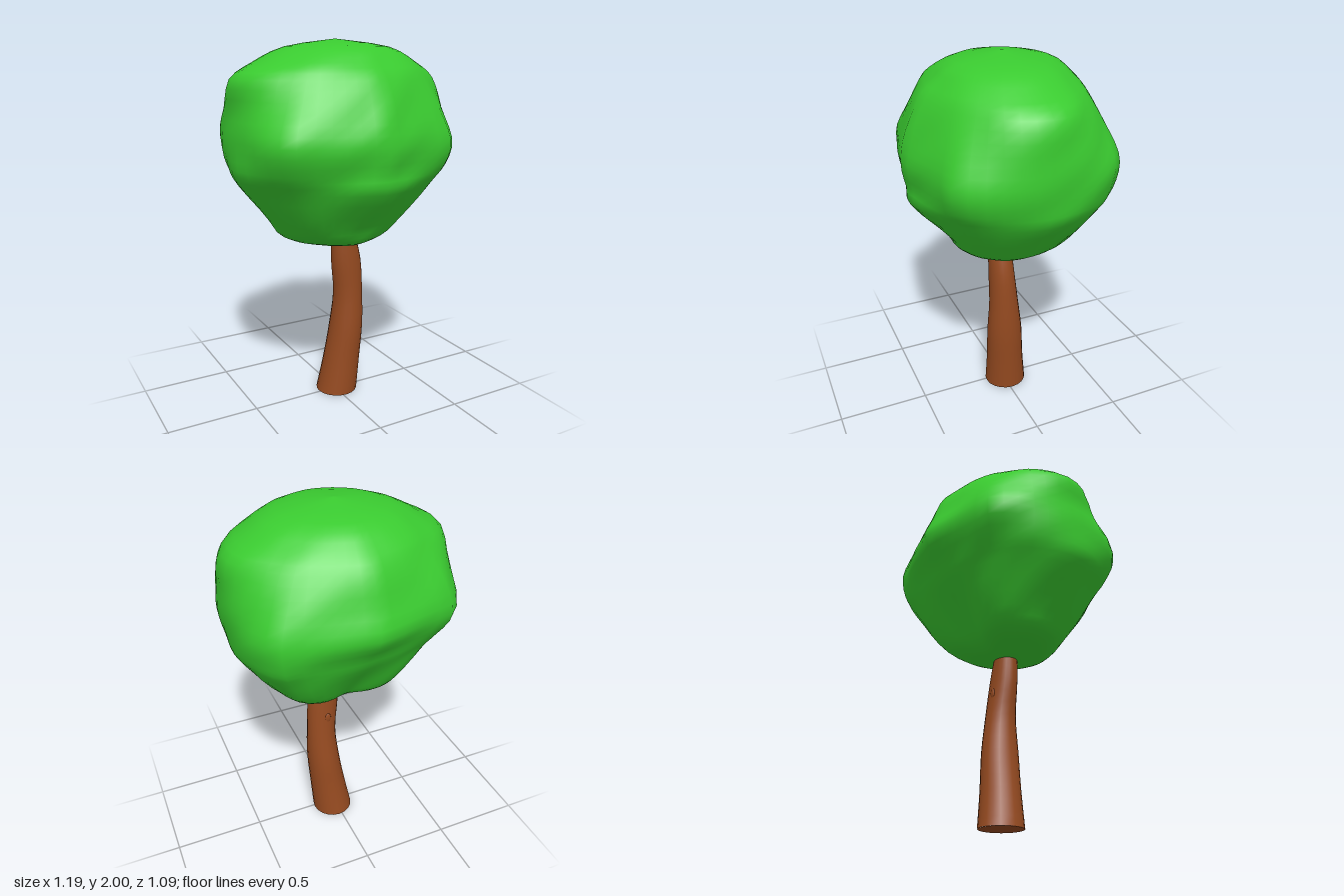
import * as THREE from 'three';

// Catmull-Rom value between b and c
function spline(a, b, c, d, t) {
  return b + 0.5 * t * (c - a + t * (2 * a - 5 * b + 4 * c - d + t * (3 * (b - c) + d - a)));
}

// Smoothly sample rows of numbers at row position u (ends clamped)
function sampleRow(rows, u) {
  const i = Math.min(Math.floor(u), rows.length - 2);
  const at = (k) => rows[Math.max(0, Math.min(rows.length - 1, k))];
  return rows[i].map((_, k) => spline(at(i - 1)[k], at(i)[k], at(i + 1)[k], at(i + 2)[k], u - i));
}

// Skin stacked closed rings, bottom to top; point(u, angle) gives [x, y, z]
function loft(rowCount, steps, sides, point) {
  const pos = [], index = [];
  const rings = (rowCount - 1) * steps;
  for (let i = 0; i <= rings; i++) {
    for (let j = 0; j < sides; j++) {
      pos.push(...point(i / steps, (j / sides) * Math.PI * 2));
      if (i === rings) continue;
      const a = i * sides + j, b = i * sides + (j + 1) % sides;
      index.push(a, a + sides, b, b, a + sides, b + sides);
    }
  }
  const geo = new THREE.BufferGeometry();
  geo.setAttribute('position', new THREE.Float32BufferAttribute(pos, 3));
  geo.setIndex(index);
  geo.computeVertexNormals();
  return geo;
}

// Crown: height, then radii every 45 degrees from +x towards +z
const CROWN = [
  [0.92, 0, 0, 0, 0, 0, 0, 0, 0],
  [0.925, 0.13, 0.15, 0.17, 0.15, 0.16, 0.12, 0.10, 0.12],
  [0.97, 0.28, 0.27, 0.27, 0.27, 0.31, 0.27, 0.18, 0.27],
  [1.06, 0.38, 0.36, 0.33, 0.36, 0.38, 0.36, 0.25, 0.39],
  [1.26, 0.54, 0.52, 0.51, 0.50, 0.54, 0.48, 0.40, 0.54],
  [1.36, 0.575, 0.59, 0.52, 0.57, 0.59, 0.55, 0.46, 0.60],
  [1.50, 0.59, 0.62, 0.545, 0.635, 0.59, 0.625, 0.545, 0.63],
  [1.65, 0.59, 0.55, 0.51, 0.56, 0.58, 0.57, 0.50, 0.56],
  [1.80, 0.565, 0.47, 0.44, 0.47, 0.575, 0.47, 0.44, 0.46],
  [1.88, 0.45, 0.40, 0.36, 0.40, 0.45, 0.40, 0.37, 0.38],
  [1.96, 0.29, 0.27, 0.25, 0.25, 0.27, 0.26, 0.25, 0.25],
  [2.00, 0, 0, 0, 0, 0, 0, 0, 0],
];

function crownPoint(u, angle) {
  const [y, ...radii] = sampleRow(CROWN, u);
  const step = Math.PI / 4, s = angle / step, k = Math.floor(s), t = s - k;
  const at = (n) => Math.max(0, radii[(n + 8) % 8]);
  let r = Math.max(0, spline(at(k - 1), at(k), at(k + 1), at(k + 2), t));
  // straighter walls from the corners to the front and back ridges
  if (Math.abs(Math.sin(angle)) > Math.abs(Math.cos(angle))) {
    const p = at(k), q = at(k + 1);
    const across = p * Math.sin(t * step) + q * Math.sin((1 - t) * step);
    const chord = (p * q * Math.sin(step)) / (across + 1e-6);
    r += (chord - r) * Math.exp(-(((y - 1.5) / 0.35) ** 2));
  }
  // gentle lumps
  r *= 1 + 0.01 * Math.sin(7 * angle + 9 * y) * Math.sin(17 * y + 2 * Math.cos(3 * angle));
  return [r * Math.cos(angle), Math.min(2, Math.max(0.92, y)), r * Math.sin(angle)];
}

// Trunk: height, min x, max x, min z, max z
const TRUNK = [
  [0.0, -0.10, 0.135, -0.135, 0.107],
  [0.2, -0.062, 0.148, -0.108, 0.107],
  [0.4, -0.03, 0.16, -0.09, 0.112],
  [0.6, -0.012, 0.157, -0.062, 0.102],
  [0.8, -0.032, 0.143, -0.042, 0.098],
  [0.96, -0.032, 0.10, -0.032, 0.09],
];

function trunkPoint(u, angle) {
  const [y, x0, x1, z0, z1] = sampleRow(TRUNK, u);
  return [
    (x0 + x1) / 2 + ((x1 - x0) / 2) * Math.cos(angle), y,
    (z0 + z1) / 2 + ((z1 - z0) / 2) * Math.sin(angle),
  ];
}

export function createModel() {
  const model = new THREE.Group();
  model.name = 'tree';
  const leaf = new THREE.MeshStandardMaterial({ color: 0x3acb30 });
  const bark = new THREE.MeshStandardMaterial({ color: 0x954a20 });
  const add = (name, geo, mat) => {
    const mesh = new THREE.Mesh(geo, mat);
    mesh.name = name;
    model.add(mesh);
    return mesh;
  };

  add('crown', loft(CROWN.length, 3, 48, crownPoint), leaf);
  add('trunk', loft(TRUNK.length, 3, 20, trunkPoint), bark);

  // flat underside of the trunk
  const base = add('trunkBase', new THREE.CircleGeometry(0.119, 20), bark);
  base.rotation.x = Math.PI / 2;
  base.position.set(0.0175, 0, -0.014);

  // small knot on the back of the trunk
  const knot = add('knot', new THREE.SphereGeometry(0.03, 12, 8), bark);
  knot.scale.set(0.6, 1, 0.25);
  knot.position.set(0.055, 0.72, -0.046);
  return model;
}
